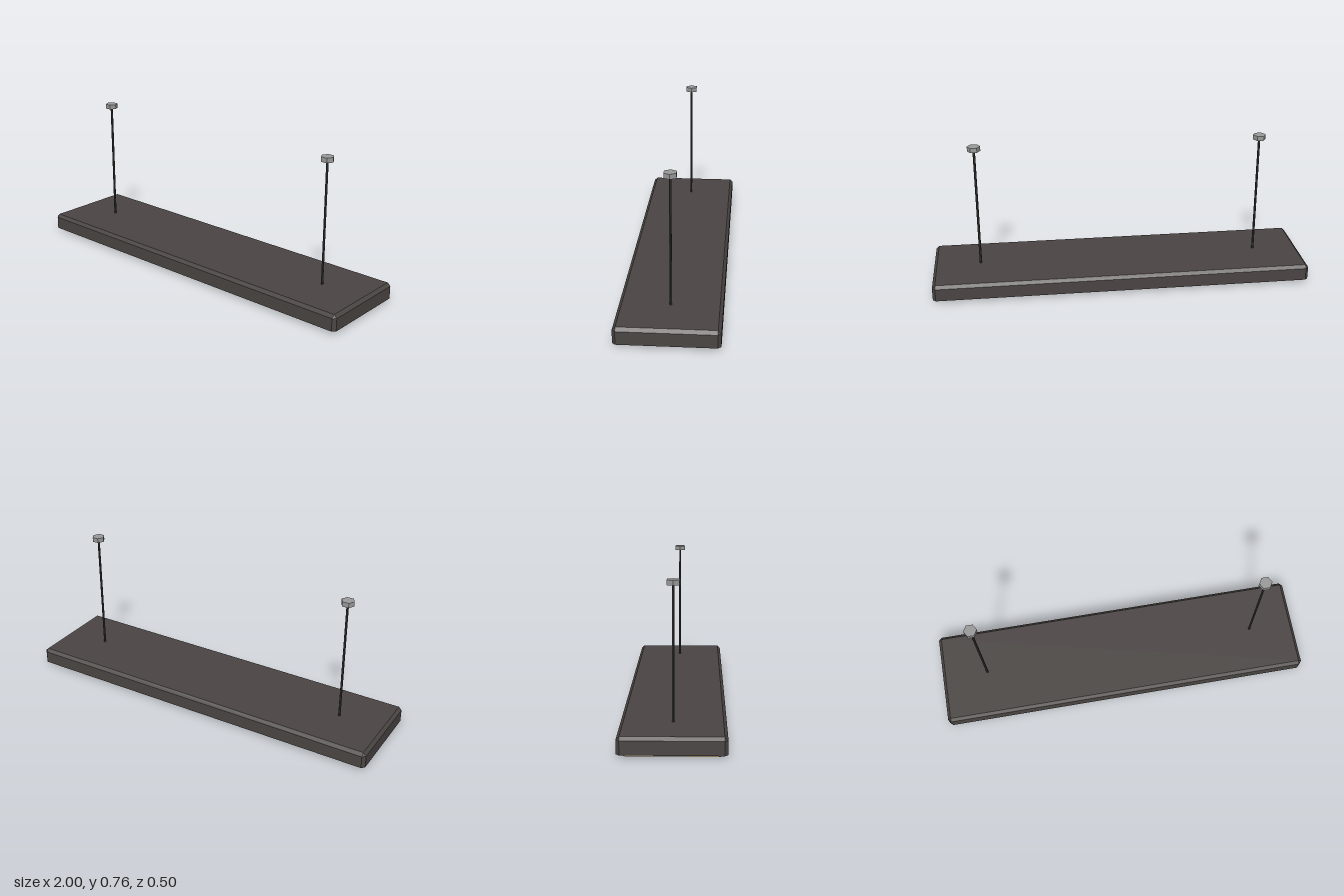
import * as THREE from 'three';
import { ConvexGeometry } from 'three/addons/geometries/ConvexGeometry.js';

export function createModel() {
  const group = new THREE.Group();
  const material = (name, color) => {
    const m = new THREE.MeshStandardMaterial({ color });
    m.name = name;
    return m;
  };
  const housingMat = material('charcoalHousing', 0x4a4543);
  const panelMat = material('warmDiffuser', 0xd0ba8a);
  const rodMat = material('darkRod', 0x383737);
  const capMat = material('greyMetal', 0x999999);

  const add = (name, geometry, mat, x, y) => {
    const mesh = new THREE.Mesh(geometry, mat);
    mesh.name = name;
    mesh.position.set(x, y, 0);
    group.add(mesh);
  };

  // Housing: slab with chamfered upright corners and top rim, square bottom rim
  const W = 1, D = 0.25, C = 0.016, bottom = 0.014, top = 0.097;
  const points = [];
  for (const sx of [-1, 1]) {
    for (const sz of [-1, 1]) {
      for (const y of [bottom, top - C]) {
        points.push(new THREE.Vector3(sx * W, y, sz * (D - C)));
        points.push(new THREE.Vector3(sx * (W - C), y, sz * D));
      }
      points.push(new THREE.Vector3(sx * (W - C), top, sz * (D - C)));
    }
  }
  add('housing', new ConvexGeometry(points), housingMat, 0, 0);

  // Light panel below the housing
  add('diffuserPanel', new THREE.BoxGeometry(1.936, bottom, 0.436), panelMat, 0, bottom / 2);

  // Suspension rods with hexagonal ceiling caps
  const hexagon = (radius, height) => {
    const g = new THREE.CylinderGeometry(radius, radius, height, 6, 1, false, Math.PI / 6).toNonIndexed();
    g.computeVertexNormals();
    return g;
  };
  const capBottom = 0.74, capHeight = 0.025;
  for (const [side, x] of [['left', 0.75], ['right', -0.75]]) {
    add(side + 'Rod', hexagon(0.0065, capBottom - top), rodMat, x, (capBottom + top) / 2);
    add(side + 'CeilingCap', hexagon(0.034, capHeight), capMat, x, capBottom + capHeight / 2);
  }
  return group;
}
